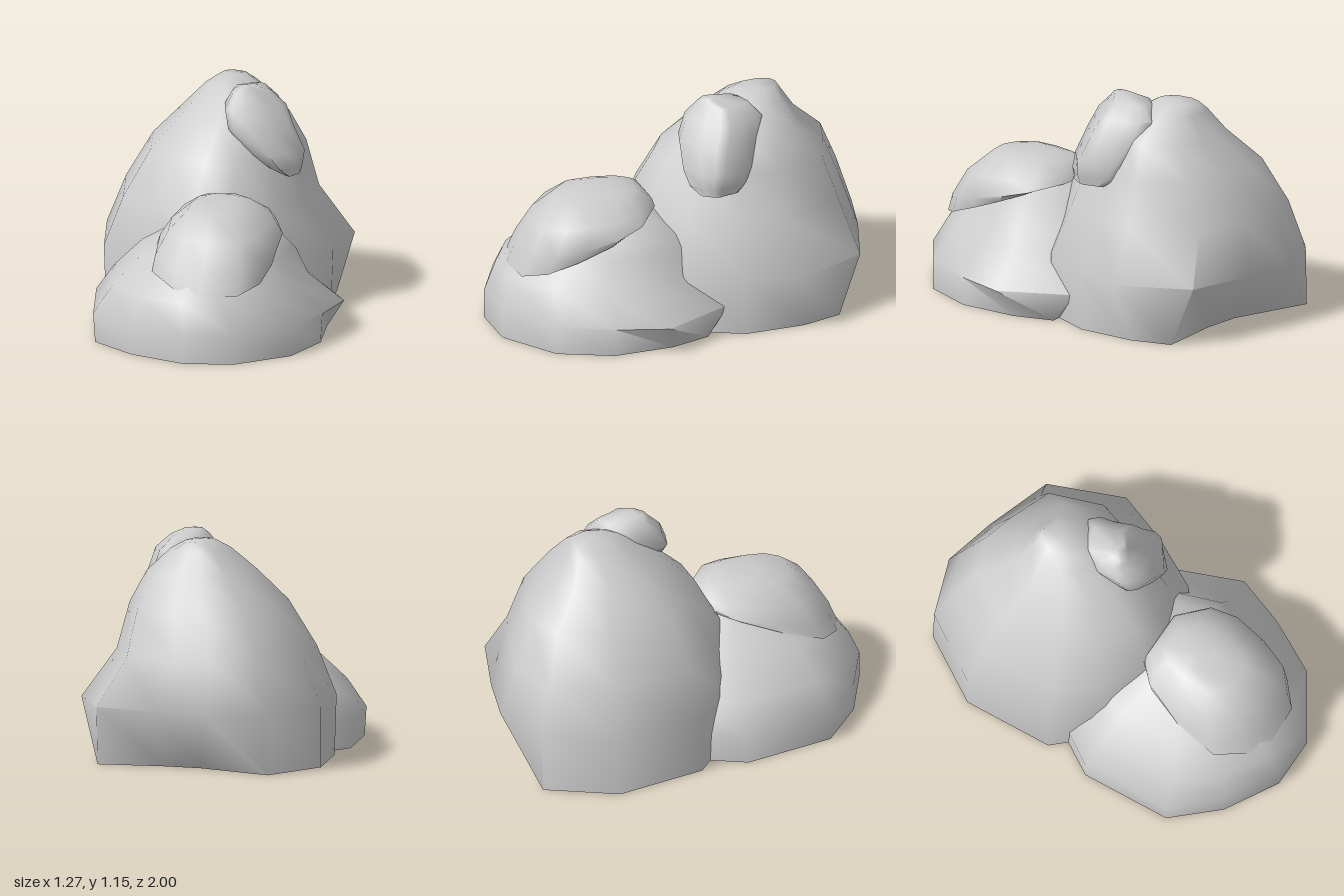
import * as THREE from 'three';
import { toCreasedNormals } from 'three/addons/utils/BufferGeometryUtils.js';

const material = new THREE.MeshStandardMaterial({ color: 0xcccccc, side: THREE.DoubleSide });

// Plan outlines as [x, z], clockwise from above.
const boulderOutline = [
  [-0.14, -1], [0.13, -0.93], [0.47, -0.81], [0.63, -0.43], [0.54, -0.17], [0.4, 0.1],
  [0.12, 0.285], [-0.14, 0.285], [-0.41, 0.13], [-0.62, -0.09], [-0.64, -0.56], [-0.43, -0.9],
];
// Footprint on the ground, undercut at the back and right
const boulderBase = [
  [-0.05, -0.72], [0.15, -0.69], [0.49, -0.69], [0.54, -0.48], [0.53, -0.17], [0.4, 0.1],
  [0.12, 0.285], [-0.14, 0.285], [-0.41, 0.13], [-0.61, -0.09], [-0.64, -0.56], [-0.44, -0.9],
];
const largeCapOutline = [
  [-0.16, 0.2], [0.13, 0.2], [0.28, 0.33], [0.32, 0.47], [0.3, 0.65], [0.25, 0.8],
  [0.14, 0.9], [-0.06, 0.91], [-0.2, 0.85], [-0.32, 0.72], [-0.31, 0.5], [-0.25, 0.3],
];
const smallCapOutline = [
  [0.03, -0.29], [0.12, -0.34], [0.27, -0.38], [0.33, -0.33], [0.35, -0.25], [0.4, -0.15],
  [0.38, -0.09], [0.28, -0.03], [0.15, 0.05], [0.04, 0.02], [0, -0.02], [-0.01, -0.15],
];

// Levels are [y, xMin, xMax, zMin, zMax, forward slope].
const boulderLevels = [
  [0.31, -0.64, 0.63, -1, 0.285],
  [0.56, -0.54, 0.45, -0.92, 0.22],
  [0.8, -0.4, 0.385, -0.81, 0.1],
  [0.96, -0.25, 0.3, -0.64, -0.07],
  [1.08, -0.13, 0.17, -0.56, -0.23],
  [1.125, -0.06, 0.09, -0.53, -0.31],
];
const largeCapLevels = [
  [0.47, -0.315, 0.31, 0.2, 0.91, 0.4],
  [0.52, -0.3, 0.33, 0.18, 0.87, 0.25],
  [0.61, -0.24, 0.28, 0.19, 0.79, 0.12],
  [0.69, -0.14, 0.17, 0.25, 0.66],
  [0.708, -0.08, 0.1, 0.32, 0.5],
];
const smallCapLevels = [
  [0.715, 0.3, 0.38, -0.19, 0],
  [0.76, 0.22, 0.39, -0.25, 0.045],
  [0.83, 0.13, 0.4, -0.29, 0.06],
  [0.95, 0.01, 0.34, -0.36, 0.045],
  [1.05, -0.01, 0.3, -0.38, 0],
  [1.12, 0.03, 0.22, -0.32, -0.07],
  [1.145, 0.07, 0.16, -0.2, -0.09],
];

// Fits the outline to the box of each level.
function fitRings(outline, levels) {
  const box = new THREE.Box2().setFromPoints(outline.map(([x, z]) => new THREE.Vector2(x, z)));
  const size = box.getSize(new THREE.Vector2());
  return levels.map(([y, x0, x1, z0, z1, slope = 0]) => outline.map(([x, z]) => {
    const px = x0 + ((x - box.min.x) / size.x) * (x1 - x0);
    const pz = z0 + ((z - box.min.y) / size.y) * (z1 - z0);
    return new THREE.Vector3(px, y - slope * (pz - (z0 + z1) / 2), pz);
  }));
}

// Skins the rings and closes the top (and optionally the bottom).
function skin(rings, topY, closeBottom = false) {
  const n = rings[0].length;
  const last = rings.length - 1;
  const points = rings.flat();
  const index = [];
  const addCentre = (ring) => {
    const centre = new THREE.Box3().setFromPoints(ring).getCenter(new THREE.Vector3());
    return points.push(centre) - 1;
  };
  const top = addCentre(rings[last]);
  points[top].y = topY;
  const bottom = closeBottom ? addCentre(rings[0]) : -1;
  for (let j = 0; j < n; j++) {
    const k = (j + 1) % n;
    for (let i = 0; i < last; i++) {
      const a = i * n + j, b = i * n + k;
      index.push(a, a + n, b + n, a, b + n, b);
    }
    index.push(last * n + j, top, last * n + k);
    if (closeBottom) index.push(j, k, bottom);
  }
  const geometry = new THREE.BufferGeometry().setFromPoints(points);
  geometry.setIndex(index);
  return toCreasedNormals(geometry, 1.3);
}

export function createModel() {
  const group = new THREE.Group();
  const add = (name, geometry) => {
    const mesh = new THREE.Mesh(geometry, material);
    mesh.name = name;
    group.add(mesh);
  };

  // Tall boulder behind, and the same boulder lower and further forward
  const backRings = [
    boulderBase.map(([x, z]) => new THREE.Vector3(x, 0, z)),
    ...fitRings(boulderOutline, boulderLevels),
  ];
  const frontRings = backRings.map((ring) => ring.map(({ x, y, z }) =>
    new THREE.Vector3(x, Math.max(0, y * 0.578 - 0.029), z + 0.715)));
  add('backBoulder', skin(backRings, 1.135));
  add('frontBoulder', skin(frontRings, 0.627));

  // Rounded lumps lying on the boulders
  add('frontCap', skin(fitRings(largeCapOutline, largeCapLevels), 0.712));
  add('backCap', skin(fitRings(smallCapOutline, smallCapLevels), 1.152, true));
  return group;
}
